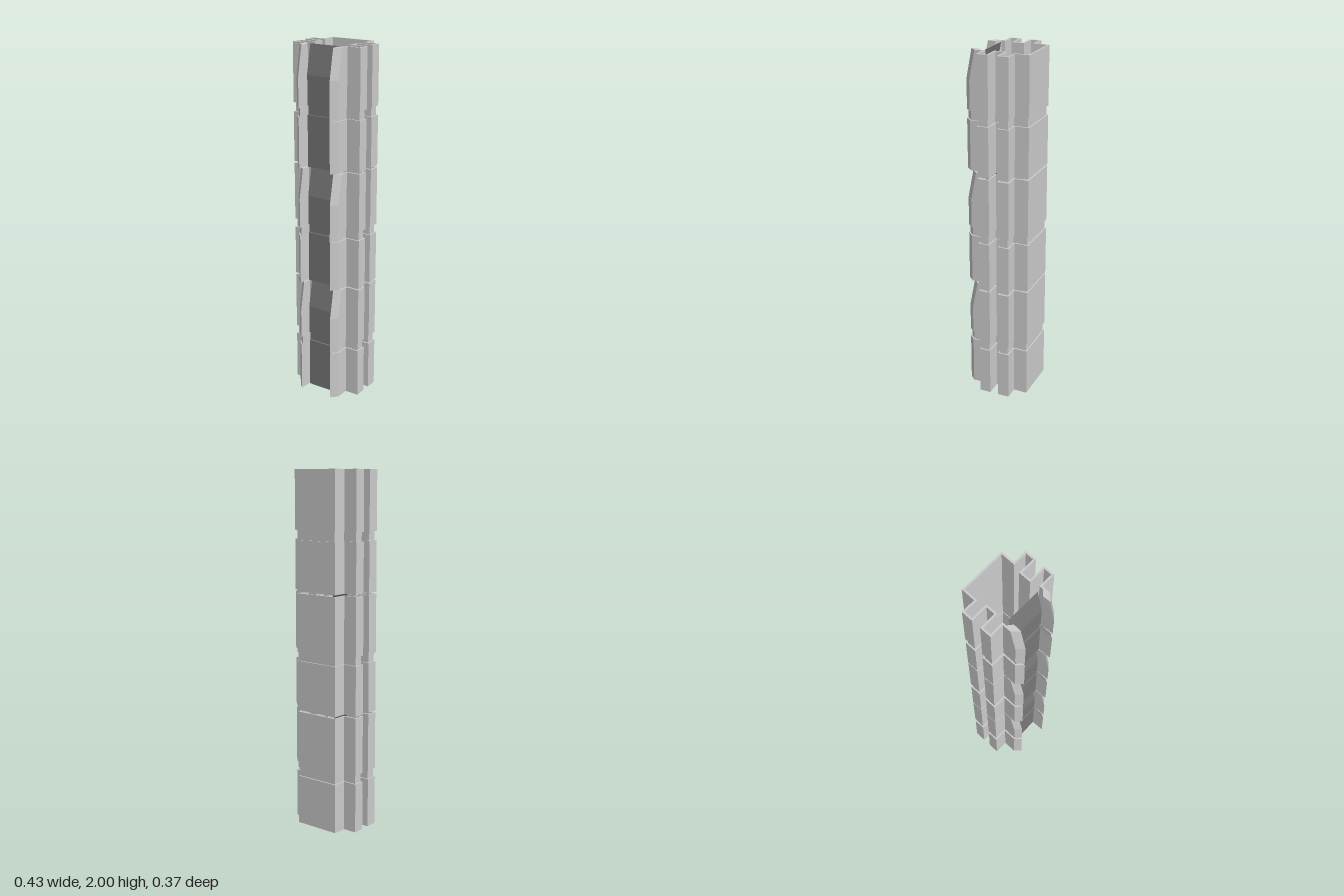
import * as THREE from 'three';

const GREY = new THREE.MeshStandardMaterial({ color: 0xcccccc, flatShading: true, side: THREE.DoubleSide });
const DARK = new THREE.MeshStandardMaterial({ color: 0x777777, flatShading: true, side: THREE.DoubleSide });

// Outer half profile (x, z) from the middle of the back to the tip of the front flange
const OUTER = [
  [0, -0.187], [0.133, -0.187], [0.133, -0.108], [0.213, -0.108], [0.213, -0.043], [0.119, -0.043],
  [0.119, 0.007], [0.213, 0.007], [0.213, 0.072], [0.133, 0.072], [0.133, 0.151], [0.099, 0.184],
];

// Mitred inward offset of an open path
function inset(path, d) {
  const normals = path.slice(1).map(([x, z], i) => {
    const dx = x - path[i][0], dz = z - path[i][1], len = Math.hypot(dx, dz);
    return [-dz / len, dx / len];
  });
  return path.map(([x, z], i) => {
    const a = normals[Math.max(i - 1, 0)], b = normals[Math.min(i, normals.length - 1)];
    const k = d / (1 + a[0] * b[0] + a[1] * b[1]);
    return [x + (a[0] + b[0]) * k, z + (a[1] + b[1]) * k];
  });
}

// Closed thin-walled C section: outer line, solid flanges, inner line
function sectionShape(depth) {
  const outer = inset(OUTER, depth);
  const inner = inset(OUTER, 0.01).slice(0, 10);
  const end = [[0.096, 0.107], [0.123, 0.085]];
  const mirror = (pts) => pts.map(([x, z]) => [-x, z]);
  const right = [...outer, ...end, ...inner.slice(1).reverse()];
  const loop = [...right, ...mirror(right.slice(1)).reverse()];
  return new THREE.Shape(loop.map(([x, z]) => new THREE.Vector2(x, -z)));
}

// Upright shell from y0 to y1; a leaning one draws its flanges back above mid height
function shell(name, depth, y0, y1, lean = 0) {
  const geo = new THREE.ExtrudeGeometry(sectionShape(depth), { depth: y1 - y0, steps: 2, bevelEnabled: false });
  geo.rotateX(-Math.PI / 2).translate(0, y0, 0);
  const p = geo.attributes.position, mid = (y0 + y1) / 2;
  for (let i = 0; i < p.count; i++) {
    if (p.getZ(i) < 0.13) continue;
    const t = Math.max(0, (p.getY(i) - mid) / (y1 - mid));
    p.setZ(i, p.getZ(i) - lean * t);
  }
  geo.computeVertexNormals();
  const mesh = new THREE.Mesh(geo, GREY);
  mesh.name = name;
  return mesh;
}

// Front panel: folded strip following (y, z) points
function frontPanel() {
  const path = [[0.003, 0.074], [0.003, 0.106], [0.29, 0.106], [0.29, 0.096], [0.34, 0.096],
    [0.34, 0.106], [0.503, 0.106], [0.665, 0.074]];
  const pos = [], idx = [];
  path.forEach(([y, z], i) => {
    pos.push(-0.098, y, z, 0.098, y, z);
    const a = 2 * i;
    if (i) idx.push(a - 2, a - 1, a + 1, a - 2, a + 1, a);
  });
  let geo = new THREE.BufferGeometry();
  geo.setAttribute('position', new THREE.Float32BufferAttribute(pos, 3));
  geo.setIndex(idx);
  geo = geo.toNonIndexed();
  geo.computeVertexNormals();
  const mesh = new THREE.Mesh(geo, DARK);
  mesh.name = 'frontPanel';
  return mesh;
}

export function createModel() {
  const group = new THREE.Group();
  group.name = 'column';
  // Three stacked identical segments
  for (let i = 0; i < 3; i++) {
    const segment = new THREE.Group();
    segment.name = 'columnSegment' + (i + 1);
    segment.add(
      shell('lowerShell', 0, 0.01, 0.29),
      shell('grooveShell', 0.008, 0.29, 0.34),
      shell('upperShell', 0, 0.34, 0.6667, 0.032),
      frontPanel(),
    );
    segment.position.y = i * 2 / 3;
    group.add(segment);
  }
  return group;
}
